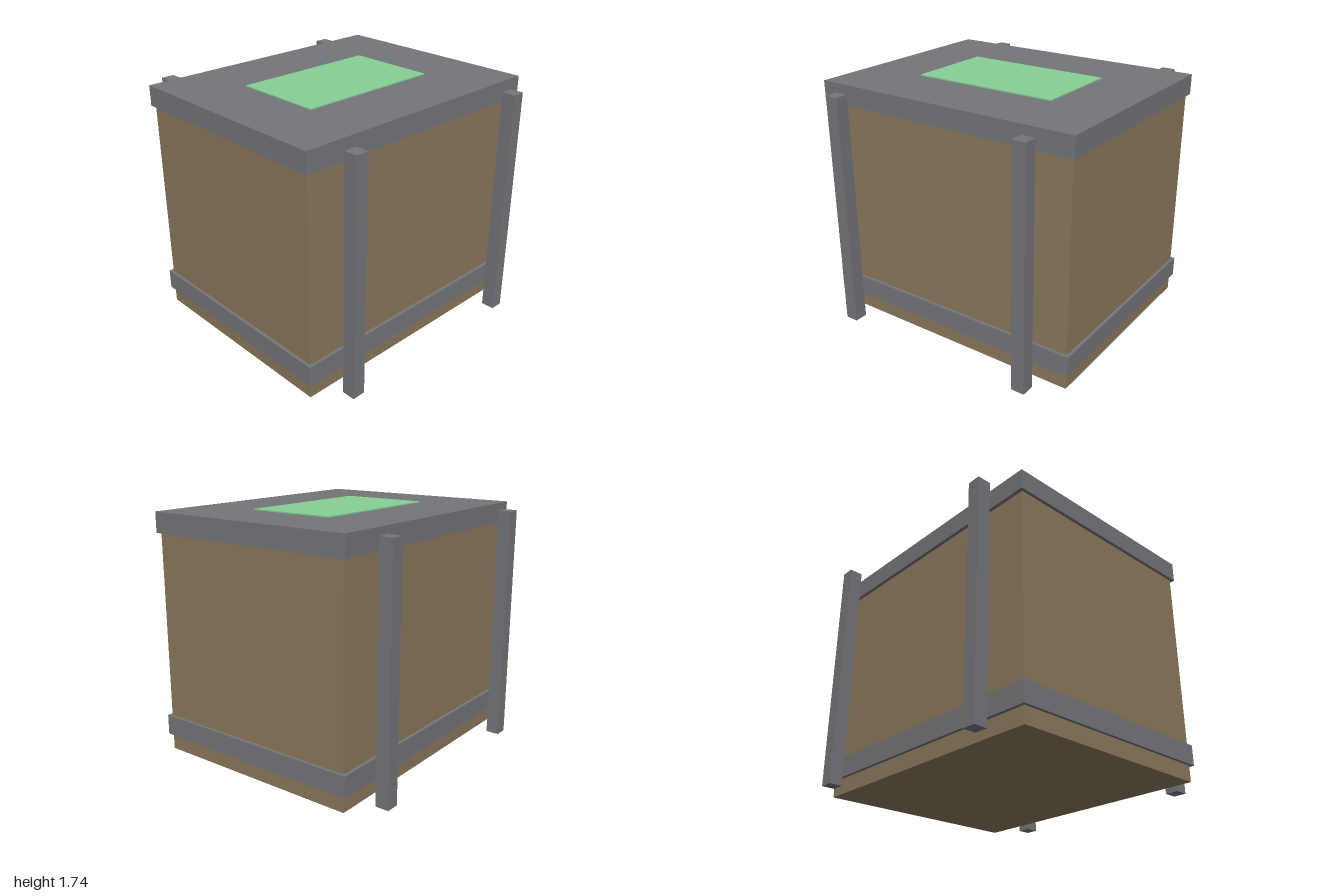
import * as THREE from 'three';

export function createModel() {
  const wood = new THREE.MeshStandardMaterial({ name: 'brown wood', color: 0x8a775c });
  const metal = new THREE.MeshStandardMaterial({ name: 'grey metal', color: 0x747579 });
  const green = new THREE.MeshStandardMaterial({ name: 'green panel', color: 0x86ce94 });

  const model = new THREE.Group();
  model.name = 'crate';

  // Adds a box resting on height y
  function box(name, material, [w, h, d], [x, y, z]) {
    const mesh = new THREE.Mesh(new THREE.BoxGeometry(w, h, d), material);
    mesh.name = name;
    mesh.position.set(x, y + h / 2, z);
    model.add(mesh);
  }

  // Crate body with its lower band and lid
  box('body', wood, [1.556, 1.65, 1.956], [0, 0, 0]);
  box('lowerBand', metal, [1.604, 0.145, 2], [0, 0.115, 0]);
  box('lid', metal, [1.604, 0.145, 2], [0, 1.582, 0]);

  // Thin panel on the lid
  box('topPanel', green, [0.654, 0.008, 1.08], [0, 1.727, 0]);

  // Four free-standing side posts
  for (const [side, sx] of [['left', 1], ['right', -1]]) {
    for (const [end, sz] of [['Front', 1], ['Back', -1]]) {
      box(side + end + 'Post', metal, [0.096, 1.695, 0.096], [sx * 0.934, 0, sz * 0.743]);
    }
  }
  return model;
}
